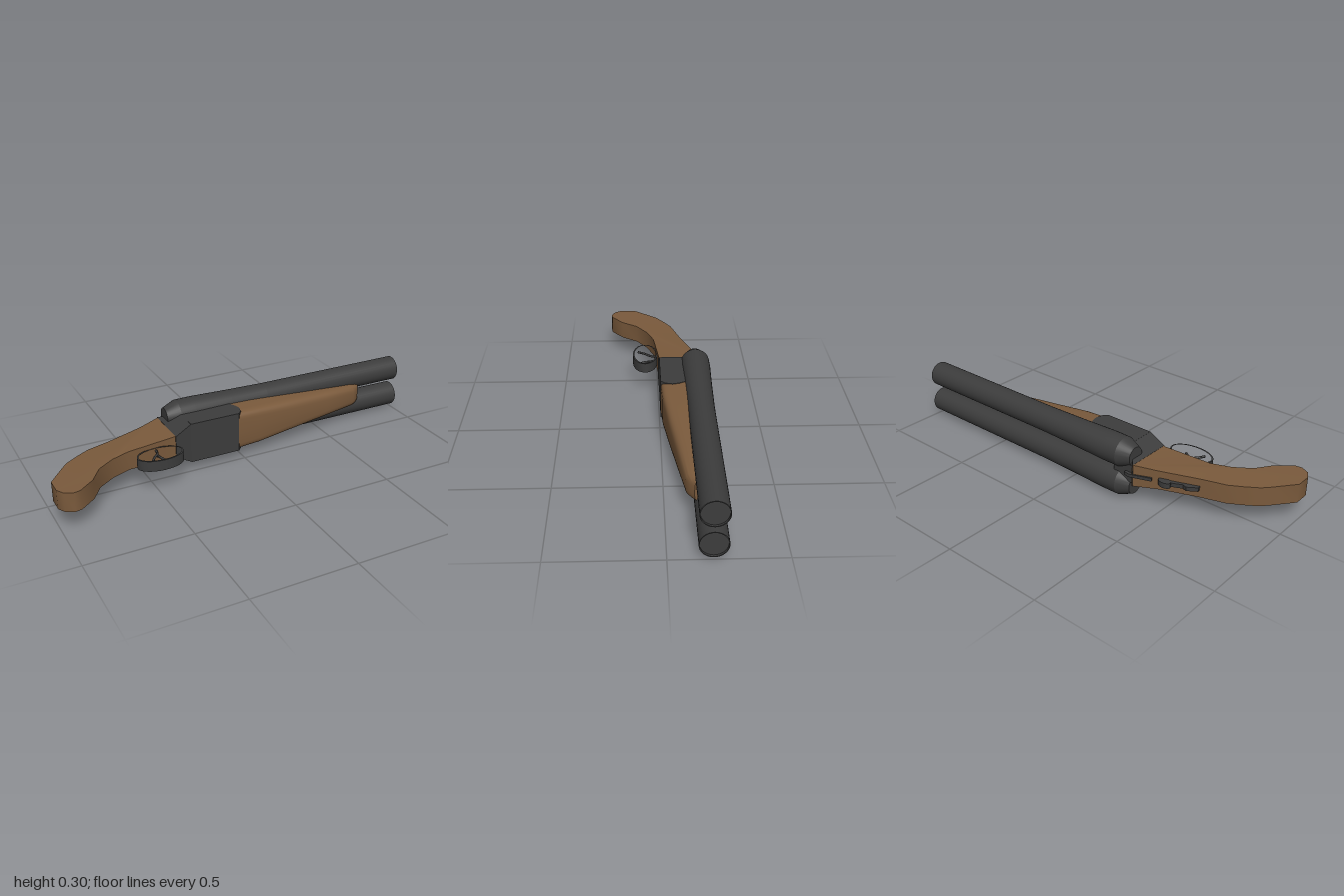
import * as THREE from 'three';
import { toCreasedNormals } from 'three/addons/utils/BufferGeometryUtils.js';

const MID = 0.149; // height of the symmetry plane
const metal = new THREE.MeshStandardMaterial({ color: 0x3c3c3c });
const wood = new THREE.MeshStandardMaterial({ color: 0x7a5a3c });

// Flat plate: outline given as [x, z], extruded upward and centred on MID
function plate(outline, thickness, hole) {
  const toVec = ([x, z]) => new THREE.Vector2(x, -z);
  const shape = new THREE.Shape(outline.map(toVec));
  if (hole) shape.holes.push(new THREE.Path(hole.map(toVec)));
  const g = new THREE.ExtrudeGeometry(shape, { depth: thickness, bevelEnabled: false });
  return g.rotateX(-Math.PI / 2).translate(0, MID - thickness / 2, 0);
}

// Capped loft along +x through sections { x, pts: [[y, z], ...] }
function loft(sections) {
  const pos = [], idx = [], n = sections[0].pts.length, last = (sections.length - 1) * n;
  for (const s of sections) for (const [y, z] of s.pts) pos.push(s.x, y, z);
  for (let s = 0; s < last; s += n) {
    for (let i = 0; i < n; i++) {
      const a = s + i, b = s + (i + 1) % n;
      idx.push(a, b, b + n, a, b + n, a + n);
    }
  }
  for (let i = 1; i < n - 1; i++) idx.push(0, i + 1, i, last, last + i, last + i + 1);
  const g = new THREE.BufferGeometry();
  g.setAttribute('position', new THREE.Float32BufferAttribute(pos, 3));
  g.setIndex(idx);
  return g;
}

const ellipse = (cx, cz, rx, rz, n = 40) => Array.from({ length: n }, (_, i) => {
  const a = i / n * Math.PI * 2;
  return [cx + rx * Math.cos(a), cz + rz * Math.sin(a)];
});

const rect = (w, z0, z1) => [[MID + w, z0], [MID + w, z1], [MID - w, z1], [MID - w, z0]];

// Open-topped section whose lower corners get rounder as the power falls
function roundedSection(w, top, bottom, power) {
  const pts = [];
  for (let i = 0; i <= 16; i++) {
    const a = i / 16 * Math.PI, c = Math.cos(a);
    const y = Math.sign(c) * Math.abs(c) ** (2 / power);
    const z = Math.max(0, Math.sin(a)) ** (2 / power);
    pts.push([MID + w * y, top + (bottom - top) * z]);
  }
  return pts;
}

export function createModel() {
  const group = new THREE.Group();
  const add = (name, geometry, material, crease = 0.6) => {
    const mesh = new THREE.Mesh(toCreasedNormals(geometry, crease), material);
    mesh.name = name;
    group.add(mesh);
    return mesh;
  };

  // Paired barrels with thicker chambers and a shallow muzzle recess
  const profile = [[0, -0.345], [0.045, -0.345], [0.072, -0.28], [0.073, -0.2], [0.067, 0],
    [0.063, 0.2], [0.063, 1], [0.059, 1], [0.059, 0.99], [0, 0.99]]
    .map(([r, x]) => new THREE.Vector2(r, x));
  for (const [name, side] of [['upperBarrel', 1], ['lowerBarrel', -1]]) {
    const g = new THREE.LatheGeometry(profile, 32).rotateZ(-Math.PI / 2);
    add(name, g.translate(0, MID + side * 0.075, -0.188), metal, 0.35);
  }

  // Receiver: tapered rear, block with rounded hinge nose, and breech between the barrels
  add('receiverRear', loft([
    { x: -0.365, pts: rect(0.056, -0.235, 0) },
    { x: -0.285, pts: rect(0.101, -0.14, -0.004) },
  ]), metal);
  add('receiver', plate([
    [-0.285, -0.004], [-0.03, -0.004], [-0.01, -0.025], [0, -0.06], [-0.008, -0.095],
    [-0.03, -0.14], [-0.285, -0.14],
  ], 0.203), metal);
  const breech = add('breech', new THREE.BoxGeometry(0.11, 0.09, 0.12), metal);
  breech.position.set(-0.305, MID, -0.165);

  // Wooden fore-end, narrowing and rounding toward the muzzle
  add('foreEnd', loft([
    [-0.034, 0.1, -0.004, 8], [0.09, 0.097, -0.01, 7], [0.3, 0.084, -0.034, 5],
    [0.52, 0.07, -0.063, 4], [0.695, 0.058, -0.088, 3.5], [0.725, 0.053, -0.105, 3],
    [0.745, 0.047, -0.124, 3],
  ].map(([x, w, bottom, power]) => ({ x, pts: roundedSection(w, -0.136, bottom, power) }))), wood);

  // Curved pistol grip
  const grip = plate([
    [-0.36, -0.233], [-0.476, -0.185], [-0.65, -0.12], [-0.77, -0.083], [-0.83, -0.048],
    [-0.89, -0.008], [-0.92, 0.025], [-1, 0.125], [-1, 0.2], [-0.98, 0.235], [-0.94, 0.255],
    [-0.91, 0.25], [-0.835, 0.19], [-0.78, 0.11], [-0.7, 0.055], [-0.61, 0.02], [-0.36, -0.006],
  ], 0.094);
  // slight flare where the grip meets the receiver
  const p = grip.attributes.position;
  for (let i = 0; i < p.count; i++) {
    const flare = 1 + 0.18 * THREE.MathUtils.smoothstep(p.getX(i), -0.5, -0.36);
    p.setY(i, MID + (p.getY(i) - MID) * flare);
  }
  add('grip', grip, wood, 0.7);

  // Trigger guard band and two triggers
  add('triggerGuard', plate(ellipse(-0.473, 0.067, 0.113, 0.065), 0.052,
    ellipse(-0.473, 0.067, 0.105, 0.057)), metal);
  const triggers = [
    ['rearTrigger', [[-0.47, -0.01], [-0.475, 0.035], [-0.505, 0.07], [-0.525, 0.104]], 0.012],
    ['frontTrigger', [[-0.475, -0.01], [-0.46, 0.04], [-0.447, 0.08], [-0.418, 0.104]], -0.012],
  ];
  for (const [name, path, dy] of triggers) {
    const curve = new THREE.CatmullRomCurve3(path.map(([x, z]) => new THREE.Vector3(x, MID + dy, z)));
    add(name, new THREE.TubeGeometry(curve, 14, 0.006, 8), metal, 1.2);
  }

  // Opening lever and safety catch along the back of the grip
  add('openingLever', plate([
    [-0.45, -0.205], [-0.35, -0.242], [-0.32, -0.238], [-0.32, -0.215], [-0.44, -0.18],
  ], 0.016), metal);
  add('leverThumbPiece', plate(ellipse(-0.51, -0.188, 0.032, 0.02, 16), 0.026), metal);
  add('safetyStrip', plate([
    [-0.655, -0.135], [-0.61, -0.165], [-0.59, -0.158], [-0.52, -0.19], [-0.49, -0.175],
    [-0.5, -0.16], [-0.65, -0.11],
  ], 0.02), metal);

  return group;
}
